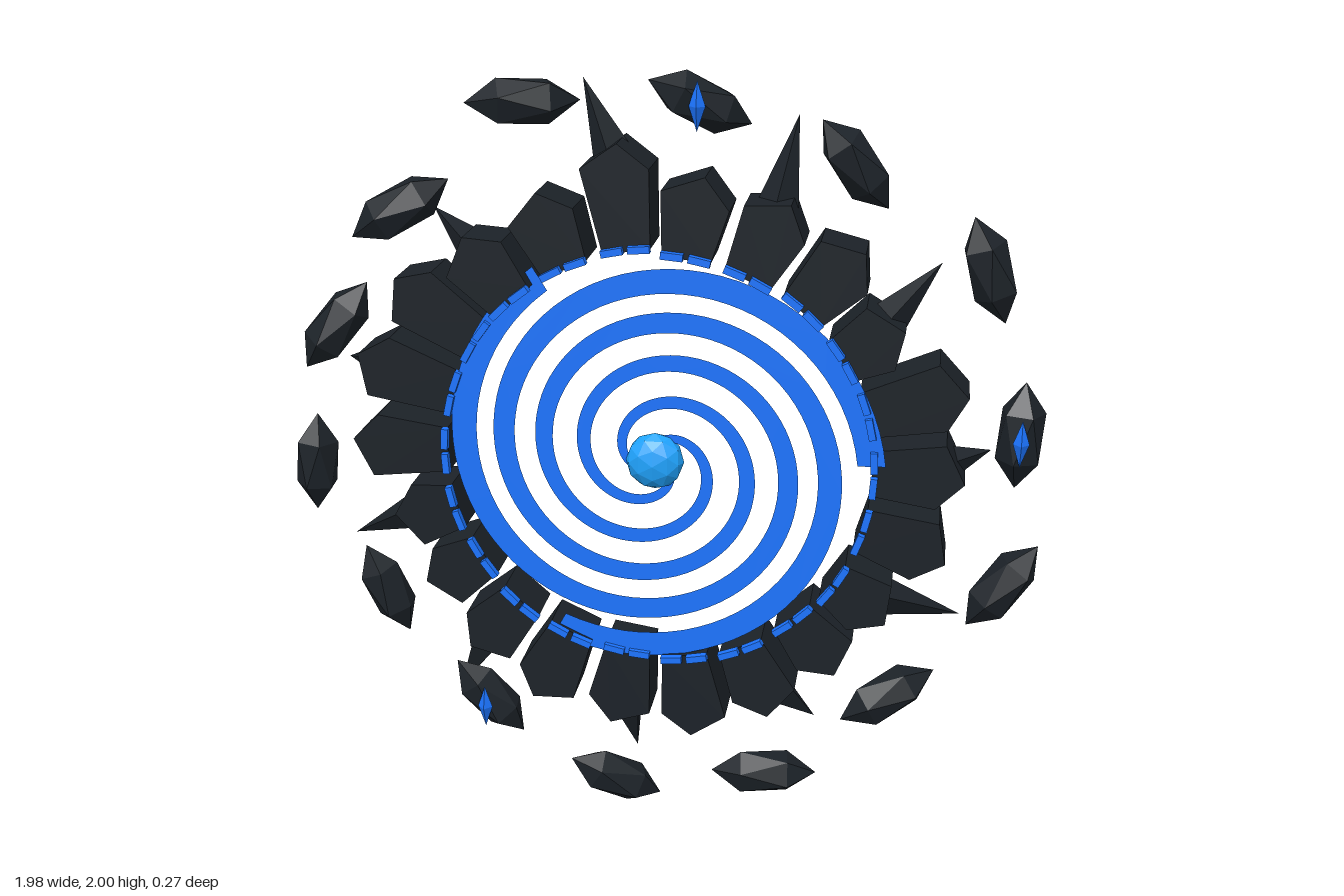
import * as THREE from 'three';

const CX = 0.023, CY = 1.023; // centre of the ring
const mat = (color, extra = {}) => new THREE.MeshStandardMaterial({ color, flatShading: true, ...extra });
const rock = mat(0x1c2228);
const glow = mat(0x1c74ff, { side: THREE.DoubleSide });
const bright = mat(0x20a4ff);

function add(parent, name, geometry, material, x = 0, y = 0, z = 0) {
  const mesh = new THREE.Mesh(geometry, material);
  mesh.name = name;
  mesh.position.set(x, y, z);
  parent.add(mesh);
  return mesh;
}

// Flat tapering ribbon that winds outwards clockwise and ends at the given angle
function spiralArm(endAngle) {
  const outer = [], inner = [], n = 120, r0 = 0.055, r1 = 0.547, pitch = 0.318;
  for (let i = 0; i <= n; i++) {
    const t = i / n, r = r0 + (r1 - r0) * t, w = 0.012 + 0.023 * t;
    const a = endAngle + ((r1 - r) / pitch) * Math.PI * 2;
    outer.push(new THREE.Vector2(Math.cos(a) * (r + w), Math.sin(a) * (r + w)));
    inner.push(new THREE.Vector2(Math.cos(a) * (r - w), Math.sin(a) * (r - w)));
  }
  return new THREE.ShapeGeometry(new THREE.Shape([...outer, ...inner.reverse()]));
}

// Five-sided block, narrow at the ring and pointed outwards along +x
function stoneGeometry(ro, depth) {
  const shape = new THREE.Shape();
  shape.moveTo(0.545, -0.06);
  shape.lineTo(ro - 0.07, -0.085);
  shape.lineTo(ro, -0.015);
  shape.lineTo(ro - 0.05, 0.085);
  shape.lineTo(0.545, 0.06);
  shape.closePath();
  return new THREE.ExtrudeGeometry(shape, { depth, bevelEnabled: false });
}

// Thin four-sided spike between two points
function spike(parent, from, to) {
  const dir = to.clone().sub(from), len = dir.length();
  const mesh = add(parent, 'spike', new THREE.ConeGeometry(0.065, len, 4), rock);
  mesh.position.copy(from).addScaledVector(dir, 0.5);
  mesh.quaternion.setFromUnitVectors(new THREE.Vector3(0, 1, 0), dir.normalize());
}

export function createModel() {
  const model = new THREE.Group();
  model.name = 'portal';

  // Swirl and slightly flattened core
  const swirl = new THREE.Group();
  swirl.name = 'swirl';
  swirl.position.set(0.02, 1.026, 0.045);
  model.add(swirl);
  for (let i = 0; i < 3; i++) {
    add(swirl, 'spiralArm', spiralArm(THREE.MathUtils.degToRad(2 + i * 120)), glow);
  }
  add(swirl, 'core', new THREE.IcosahedronGeometry(0.075, 1).scale(1, 1, 0.65), bright);

  // Ring of stones [outer radius, middle z], each with two glowing dashes at its inner edge
  const stoneData = [[0.81, -0.04], [0.75, 0.01], [0.755, 0.01], [0.755, -0.03], [0.715, -0.02], [0.80, -0.03],
    [0.775, -0.03], [0.775, -0.025], [0.72, 0], [0.74, -0.02], [0.76, 0], [0.785, -0.01], [0.78, -0.03], [0.775, -0.01],
    [0.75, 0], [0.73, -0.02], [0.72, -0.01], [0.80, -0.02], [0.815, -0.03], [0.805, -0.03], [0.745, 0.015], [0.745, -0.01]];
  // Spike tips (x, y), one for every second stone
  const tips = [[-0.18, 1.965], [0.35, 1.89], [0.71, 1.54], [0.86, 1.06], [0.81, 0.595], [0.44, 0.255],
    [-0.05, 0.115], [-0.555, 0.26], [-0.835, 0.71], [-0.82, 1.22], [-0.57, 1.63]];
  const stones = new THREE.Group();
  stones.name = 'stoneRing';
  model.add(stones);
  stoneData.forEach(([ro, mid], i) => {
    const angle = THREE.MathUtils.degToRad(98.2 - (i * 360) / 22);
    const depth = 0.14, front = mid + depth / 2;
    const unit = new THREE.Group();
    unit.name = 'stoneUnit';
    unit.position.set(CX, CY, 0);
    unit.rotation.z = angle;
    stones.add(unit);
    add(unit, 'stone', stoneGeometry(ro, depth), rock, 0, 0, mid - depth / 2);
    for (const s of [-1, 1]) {
      const dash = add(unit, 'glowDash', new THREE.BoxGeometry(0.018, 0.055, 0.02), glow, 0.55, s * 0.034, front + 0.008);
      dash.rotation.z = s * 0.06;
    }
    if (i % 2 === 0) {
      const r = ro - 0.09, [x, y] = tips[i / 2];
      spike(stones,
        new THREE.Vector3(CX + Math.cos(angle) * r, CY + Math.sin(angle) * r, mid),
        new THREE.Vector3(x, y, -0.085));
    }
  });

  // Floating shards: x, y, z, angle in degrees, turn about the vertical in radians
  const shards = [[-0.30, 1.925, 0.05, 0, 0.33], [0.12, 1.925, -0.01, -24, 0.36], [0.49, 1.775, -0.075, -52, 0.25],
    [0.825, 1.53, -0.065, -71, 0.05], [0.925, 1.13, -0.01, 88, 0.1], [0.91, 0.71, -0.03, 52, 0.2],
    [0.635, 0.40, 0.03, 28, 0.3], [0.32, 0.16, 0.07, 0, 0.12], [-0.09, 0.08, 0.03, -28, 0.32],
    [-0.45, 0.275, -0.01, -50, 0.1], [-0.75, 0.55, -0.075, -67, 0.1], [-0.925, 0.92, -0.065, 86, 0.1],
    [-0.82, 1.33, 0, 53, 0.28], [-0.61, 1.66, 0.07, 30, 0.28]];
  const shardGeo = new THREE.IcosahedronGeometry(1, 0);
  shardGeo.rotateZ(-Math.atan(2 / (1 + Math.sqrt(5)))); // a corner at each end
  shardGeo.scale(0.063, 0.139, 0.063);
  const gemGeo = new THREE.OctahedronGeometry(1, 0).scale(0.02, 0.06, 0.02);
  const floating = new THREE.Group();
  floating.name = 'floatingShards';
  model.add(floating);
  shards.forEach(([x, y, z, deg, turn], i) => {
    const shard = add(floating, 'shard', shardGeo, rock, x, y, z);
    shard.rotation.set(0, turn, THREE.MathUtils.degToRad(deg - 90));
    // Glowing gem on the front of some shards
    if ([1, 4, 9].includes(i)) add(floating, 'gem', gemGeo, glow, x, y, z + 0.062);
  });
  return model;
}
